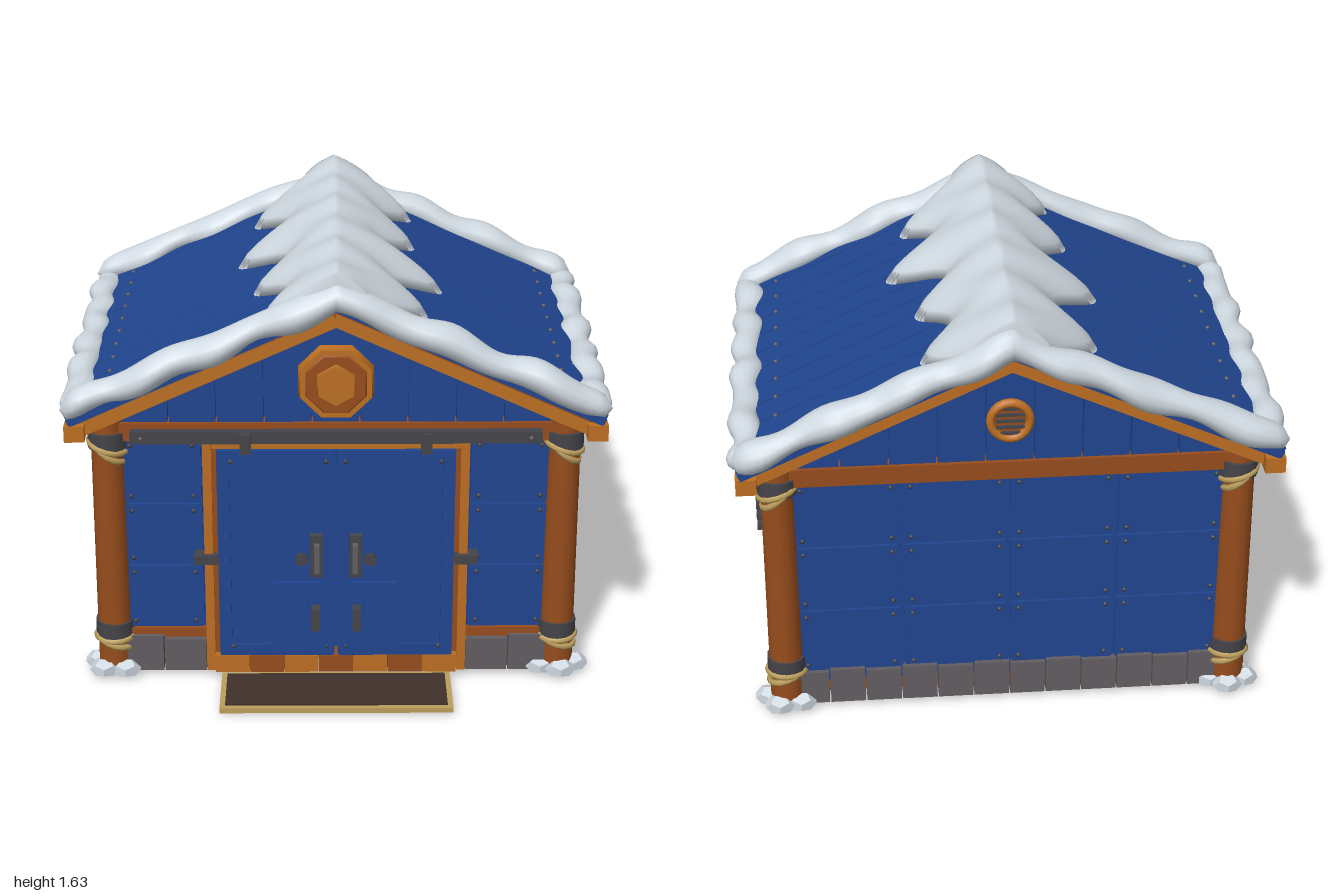
import * as THREE from 'three';

const mat = (name, color, extra = {}) => Object.assign(new THREE.MeshStandardMaterial({ color, ...extra }), { name });
const M = {
  blue: mat('blue paint', 0x20458f),
  trim: mat('orange trim', 0xbd6f22),
  wood: mat('brown timber', 0x974d1c),
  stone: mat('grey stone', 0x625d61),
  metal: mat('dark metal', 0x45444a),
  snow: mat('snow', 0xcfd8e0, { side: THREE.DoubleSide }),
  rope: mat('tan rope', 0xbd9f5c),
  dark: mat('dark mat', 0x40302b),
  glass: mat('window glass', 0xa3abb0),
};
const SLOPE = 0.455, ANGLE = Math.atan(SLOPE);

function add(parent, name, geo, material, x = 0, y = 0, z = 0) {
  const m = new THREE.Mesh(geo, material);
  m.name = name;
  m.position.set(x, y, z);
  parent.add(m);
  return m;
}
// Box given by its minimum and maximum corners
function block(parent, name, material, x0, x1, y0, y1, z0, z1) {
  return add(parent, name, new THREE.BoxGeometry(x1 - x0, y1 - y0, z1 - z0), material,
    (x0 + x1) / 2, (y0 + y1) / 2, (z0 + z1) / 2);
}
function outline(w, h, c, Type = THREE.Shape) {
  const a = w / 2, b = h / 2;
  return new Type([[-a + c, -b], [a - c, -b], [a, -b + c], [a, b - c], [a - c, b], [-a + c, b], [-a, b - c], [-a, -b + c]]
    .map(([x, y]) => new THREE.Vector2(x, y)));
}
// Plate with cut corners facing +z; a border width turns it into a frame
function plate(w, h, c, d, border = 0) {
  const s = outline(w, h, c);
  if (border) s.holes.push(outline(w - 2 * border, h - 2 * border, c * 0.8, THREE.Path));
  return new THREE.ExtrudeGeometry(s, { depth: d, bevelEnabled: false });
}
function rivet(parent, x, y, z, material = M.metal) {
  add(parent, 'rivet', new THREE.SphereGeometry(0.009, 6, 4), material, x, y, z);
}
// Grid of panels facing +z with rivets at their corners
function panels(parent, xs, ys, z, cut = 0.008) {
  for (let i = 0; i + 1 < xs.length; i++) for (let j = 0; j + 1 < ys.length; j++) {
    const w = xs[i + 1] - xs[i], h = ys[j + 1] - ys[j], cx = xs[i] + w / 2, cy = ys[j] + h / 2;
    add(parent, 'wallPanel', plate(w - 0.008, h - 0.008, cut, 0.015), M.blue, cx, cy, z - 0.015);
    for (const a of [-1, 1]) for (const b of [-1, 1]) rivet(parent, cx + a * (w / 2 - 0.035), cy + b * (h / 2 - 0.03), z);
  }
}
function surface(rings, cols) {
  const pos = rings.flat(), idx = [], n = rings.length;
  for (let i = 0; i < n - 1; i++) for (let j = 0; j < cols; j++) {
    const a = i * cols + j, b = i * cols + (j + 1) % cols;
    idx.push(a, b, a + cols, b, b + cols, a + cols);
  }
  const g = new THREE.BufferGeometry();
  g.setAttribute('position', new THREE.Float32BufferAttribute(pos.flat(), 3));
  g.setIndex(idx);
  g.computeVertexNormals();
  return g;
}
// Lumpy roll of snow: path(t) gives the centre, acrossX picks the horizontal axis of its section
function snowRoll(parent, name, path, acrossX, wide, tall, seed) {
  const rings = [], N = 72, K = 14;
  for (let i = 0; i <= N; i++) {
    const t = i / N, p = path(t), end = Math.sqrt(Math.max(0, 1 - Math.pow(Math.abs(2 * t - 1), 24)));
    const k = end * (1 + 0.1 * Math.sin(t * 44 + seed) + 0.08 * Math.sin(t * 27 + seed * 2));
    const ring = [];
    for (let j = 0; j < K; j++) {
      const a = j / K * Math.PI * 2, h = Math.cos(a) * wide * k, v = Math.sin(a) * tall * k;
      ring.push([p[0] + (acrossX ? h : 0), p[1] + v, p[2] + (acrossX ? 0 : h)]);
    }
    rings.push(ring);
  }
  add(parent, name, surface(rings, K), M.snow);
}
// Smooth interpolation through [z, width] keys
function wave(keys, z) {
  let i = 0;
  while (i < keys.length - 2 && z > keys[i + 1][0]) i++;
  const [a, b] = [keys[i], keys[i + 1]], t = THREE.MathUtils.clamp((z - a[0]) / (b[0] - a[0]), 0, 1);
  return a[1] + (b[1] - a[1]) * (0.5 - 0.5 * Math.cos(t * Math.PI));
}

function buildWalls(g) {
  block(g, 'floorCore', M.wood, -0.8, 0.8, 0.055, 0.08, -0.68, 0.53);
  for (let i = 0; i < 9; i++) block(g, 'floorPlank', M.wood, -0.8, 0.8, 0.04, 0.056, -0.68 + i * 0.1345, -0.552 + i * 0.1345);
  block(g, 'frontWall', M.blue, -0.8, 0.8, 0.1, 0.96, 0.51, 0.543);
  block(g, 'backWall', M.blue, -0.8, 0.8, 0.1, 0.96, -0.693, -0.66);
  for (const s of [-1, 1]) {
    block(g, 'sideWall', M.blue, s * 0.82 - 0.018, s * 0.82 + 0.018, 0.1, 0.96, -0.66, 0.51);
    const half = new THREE.Group();
    half.name = 'frontPanels';
    panels(half, s > 0 ? [0.485, 0.78] : [-0.78, -0.485], [0.19, 0.45, 0.7, 0.96], 0.557);
    g.add(half);
    block(g, 'frontSill', M.wood, s * 0.63 - 0.16, s * 0.63 + 0.16, 0.155, 0.19, 0.53, 0.565);
    // Side wall, built facing +z and then turned outwards
    const side = new THREE.Group();
    side.name = 'sidePanels';
    side.rotation.y = s * Math.PI / 2;
    side.position.z = -0.075;
    panels(side, [-0.55, -0.195, 0.195, 0.55], [0.15, 0.7, 0.965], 0.853, 0.02);
    for (let i = 0; i < 9; i++) block(side, 'rafterEnd', M.trim, -0.59 + i * 0.133, -0.485 + i * 0.133, 0.955, 1.04, 0.79, 0.84);
    if (s > 0) buildVent(side); else buildWindow(side);
    g.add(side);
    for (let i = 0; i < 9; i++) {
      const z = -0.71 + i * 0.14, x = s * (0.83 - (i % 3) * 0.008);
      block(g, 'sideStone', M.stone, x - 0.04, x + 0.04, 0.02, 0.155 + (i % 2) * 0.008, z, z + 0.135);
    }
    for (const [a, b, h] of [[0.485, 0.64, 0.15], [0.645, 0.8, 0.165]])
      block(g, 'frontStone', M.stone, Math.min(s * a, s * b), Math.max(s * a, s * b), 0.02, h, 0.49, 0.58);
  }
  const back = new THREE.Group();
  back.name = 'backPanels';
  back.rotation.y = Math.PI;
  panels(back, [-0.78, -0.39, 0, 0.39, 0.78], [0.15, 0.42, 0.69, 0.96], 0.707);
  for (let i = 0; i < 12; i++) block(back, 'backStone', M.stone, -0.8 + i * 0.134, -0.671 + i * 0.134, 0.02, 0.155 + (i % 2) * 0.008, 0.64, 0.725);
  const ring = add(back, 'gableVentRing', new THREE.TorusGeometry(0.07, 0.016, 8, 20), M.trim, 0, 1.19, 0.72);
  ring.scale.z = 1.3;
  add(back, 'gableVentDisc', new THREE.CylinderGeometry(0.07, 0.07, 0.01, 20), M.wood, 0, 1.19, 0.715).rotation.x = Math.PI / 2;
  for (let i = -2; i <= 2; i++) block(back, 'gableVentSlat', M.metal, -0.05, 0.05, 1.185 + i * 0.024, 1.195 + i * 0.024, 0.715, 0.73);
  g.add(back);
  // Stepped gable boards and the tie beam at each end
  for (const z of [0.545, -0.695]) {
    block(g, 'tieBeam', M.wood, -0.82, 0.82, 0.955, 1.025, z - 0.03, z + 0.03);
    [1.36, 1.355, 1.28, 1.205, 1.125].forEach((top, i) => {
      for (const s of i ? [-1, 1] : [1]) {
        const x = s * i * 0.172;
        block(g, 'gableBoard', M.blue, x - 0.083, x + 0.083, 1.02, i ? top : 1.43, z - 0.015, z + 0.018);
      }
    });
  }
}

function buildVent(side) {
  add(side, 'ventFrame', plate(0.42, 0.335, 0.05, 0.05, 0.035), M.trim, 0.015, 0.578, 0.85);
  add(side, 'ventPlate', plate(0.35, 0.27, 0.04, 0.03), M.stone, 0.015, 0.578, 0.85);
  for (let i = -2; i <= 2; i++) block(side, 'ventSlat', M.metal, -0.125, 0.155, 0.569 + i * 0.044, 0.589 + i * 0.044, 0.875, 0.922);
}
function buildWindow(side) {
  add(side, 'windowFrame', plate(0.5, 0.18, 0.012, 0.06, 0.028), M.trim, 0, 0.69, 0.85);
  add(side, 'windowPane', plate(0.45, 0.13, 0.005, 0.025), M.glass, 0, 0.69, 0.85);
  block(side, 'windowMullion', M.trim, -0.014, 0.014, 0.62, 0.76, 0.86, 0.9);
}

function buildPosts(g) {
  for (const x of [-0.825, 0.825]) for (const z of [0.535, -0.685]) {
    const p = new THREE.Group();
    p.name = 'cornerPost';
    p.position.set(x, 0, z);
    add(p, 'post', new THREE.CylinderGeometry(0.06, 0.065, 1.02, 14), M.wood, 0, 0.55, 0);
    for (const y of [0.19, 0.955]) add(p, 'postBand', new THREE.CylinderGeometry(0.072, 0.072, 0.065, 14), M.metal, 0, y, 0);
    for (const y of [0.14, 0.158, 0.91, 0.928]) {
      const r = add(p, 'ropeLoop', new THREE.TorusGeometry(0.07, 0.012, 6, 16), M.rope, 0, y, 0);
      r.rotation.set(Math.PI / 2 + 0.08, y * 20, 0);
    }
    // Snow clumps at the foot
    for (let i = 0; i < 5; i++) {
      const a = i * 1.257 + x + z, clump = add(p, 'footSnow', new THREE.DodecahedronGeometry(0.058, 0), M.snow, Math.cos(a) * 0.068, 0.034, Math.sin(a) * 0.06);
      clump.scale.set(1, 0.62, 0.85);
    }
    g.add(p);
  }
}

function buildFront(g) {
  for (const s of [-1, 1]) {
    const d = new THREE.Group();
    d.name = s > 0 ? 'leftDoor' : 'rightDoor';
    const b = (n, m, a, c, ...r) => block(d, n, m, Math.min(s * a, s * c), Math.max(s * a, s * c), ...r);
    b('doorPost', M.trim, 0.45, 0.482, 0.03, 0.95, 0.53, 0.6);
    b('doorJamb', M.wood, 0.432, 0.452, 0.1, 0.95, 0.53, 0.585);
    b('doorLeaf', M.blue, 0.006, 0.432, 0.1, 0.93, 0.55, 0.598);
    add(d, 'doorBorder', plate(0.424, 0.83, 0.004, 0.014, 0.045), M.blue, s * 0.219, 0.515, 0.597);
    add(d, 'doorHatch', plate(0.225, 0.29, 0.008, 0.02), M.blue, s * 0.122, 0.258, 0.597);
    b('handlePlate', M.metal, 0.048, 0.095, 0.43, 0.6, 0.6, 0.625);
    b('handleGrip', M.stone, 0.06, 0.08, 0.46, 0.57, 0.625, 0.655);
    b('hatchHandle', M.metal, 0.06, 0.092, 0.225, 0.315, 0.61, 0.66);
    add(d, 'lock', new THREE.CylinderGeometry(0.024, 0.024, 0.02, 10), M.metal, s * 0.125, 0.495, 0.607).rotation.x = Math.PI / 2;
    b('latch', M.metal, 0.435, 0.52, 0.48, 0.515, 0.56, 0.62);
    b('railHanger', M.metal, 0.305, 0.345, 0.925, 1.0, 0.59, 0.63);
    for (const x of [0.035, 0.38]) for (const y of [0.14, 0.89]) rivet(d, s * x, y, 0.612);
    rivet(d, s * 0.7, 0.978, 0.61, M.stone);
    g.add(d);
  }
  block(g, 'doorLintel', M.trim, -0.48, 0.48, 0.93, 0.955, 0.53, 0.59);
  for (let i = 0; i < 7; i++) block(g, 'threshold', i % 2 ? M.wood : M.trim, -0.45 + i * 0.1286, -0.323 + i * 0.1286, 0.025, 0.095, 0.5, 0.605);
  block(g, 'slidingRail', M.metal, -0.74, 0.74, 0.957, 1.003, 0.565, 0.608);
  // Octagonal medallion with a plain hexagonal boss
  const disc = (n, m, r, d, sides, turn, z) => {
    const geo = new THREE.CylinderGeometry(r * 0.94, r, d, sides);
    geo.rotateY(turn).rotateX(Math.PI / 2);
    geo.computeBoundingBox();
    add(g, n, geo.toNonIndexed(), m, 0, 1.185, z);
  };
  disc('medallionRim', M.trim, 0.147, 0.04, 8, Math.PI / 8, 0.58);
  disc('medallionFace', M.wood, 0.12, 0.01, 8, Math.PI / 8, 0.602);
  disc('medallionBoss', M.trim, 0.08, 0.02, 6, 0, 0.61);
  // Doormat
  block(g, 'doormatFrame', M.rope, -0.425, 0.425, 0.012, 0.032, 0.62, 0.885);
  block(g, 'doormatTop', M.dark, -0.405, 0.405, 0.03, 0.039, 0.64, 0.865);
}

function buildRoof(g) {
  for (const s of [-1, 1]) {
    const r = new THREE.Group();
    r.name = 'roofSide';
    // Board lying along the slope, its centre line meeting the ridge at height y
    const sloped = (n, m, y, len, t, z0, z1) => {
      const b = block(r, n, m, -len / 2, len / 2, -t / 2, t / 2, z0, z1);
      const x = len / 2 * Math.cos(ANGLE);
      b.position.set(s * x, y - SLOPE * x, (z0 + z1) / 2);
      b.rotation.z = -s * ANGLE;
    };
    sloped('roofLining', M.wood, 1.478, 1.03, 0.012, -0.81, 0.66);
    sloped('roofDeck', M.blue, 1.502, 1.045, 0.03, -0.84, 0.685);
    for (let i = 0; i < 11; i++) {
      const z = -0.835 + i * 0.1377;
      sloped('roofBoard', M.blue, 1.515, 1.05, 0.03, z + 0.004, z + 0.134);
      if (i) rivet(r, s * 0.82, 1.532 - SLOPE * 0.82, z, M.stone);
    }
    for (const z of [0.61, -0.8]) sloped('bargeBoard', M.trim, 1.45, 1.05, 0.055, z, z + 0.05);
    block(r, 'eaveBeam', M.trim, s * 0.928 - 0.036, s * 0.928 + 0.036, 1.0, 1.06, -0.84, 0.69);
    snowRoll(r, 'eaveSnow', t => [s * (0.93 + 0.008 * Math.sin(t * 33 + s)), 1.105 + 0.006 * Math.sin(t * 25), 0.65 - t * 1.46], true, 0.054, 0.042, s + 2);
    g.add(r);
  }
  [0.65, -0.81].forEach((z, i) => snowRoll(g, 'gableSnow', t => {
    const x = (t - 0.5) * 1.96;
    return [x, 1.53 - 0.43 * Math.abs(x) + 0.008 * Math.sin(t * 38 + i), z + 0.006 * Math.sin(t * 50 + i * 2)];
  }, false, 0.066, 0.058, i * 2 + 1));
  // Snow cap on the ridge with scalloped edges
  const right = [[-0.82, 0.2], [-0.65, 0.31], [-0.48, 0.2], [-0.29, 0.31], [-0.11, 0.19], [0.1, 0.4], [0.28, 0.22], [0.44, 0.33], [0.67, 0.14]];
  const left = [[-0.82, 0.15], [-0.58, 0.32], [-0.38, 0.19], [-0.15, 0.37], [0.05, 0.19], [0.24, 0.3], [0.42, 0.18], [0.55, 0.26], [0.67, 0.15]];
  const rings = [], N = 90, K = 24, ring = (z, k) => {
    const pts = [];
    for (let j = 0; j <= K; j++) {
      const u = j / K * 2 - 1, x = u * wave(u < 0 ? left : right, z), a = Math.abs(u);
      const thick = 0.095 * Math.pow(1 - Math.pow(a, 2.5), 0.6) + 0.008 * Math.sin(z * 24) * (1 - a);
      pts.push([x, 1.53 - SLOPE * Math.abs(x) + thick * k, z]);
    }
    pts.push([0, 1.5, z]);
    return pts;
  };
  rings.push(ring(-0.82, 0));
  for (let i = 0; i <= N; i++) rings.push(ring(-0.82 + i / N * 1.49, 1));
  rings.push(ring(0.67, 0));
  add(g, 'ridgeSnow', surface(rings, K + 2), M.snow);
}

export function createModel() {
  const g = new THREE.Group();
  g.name = 'snowyShed';
  buildWalls(g);
  buildPosts(g);
  buildFront(g);
  buildRoof(g);
  return g;
}
